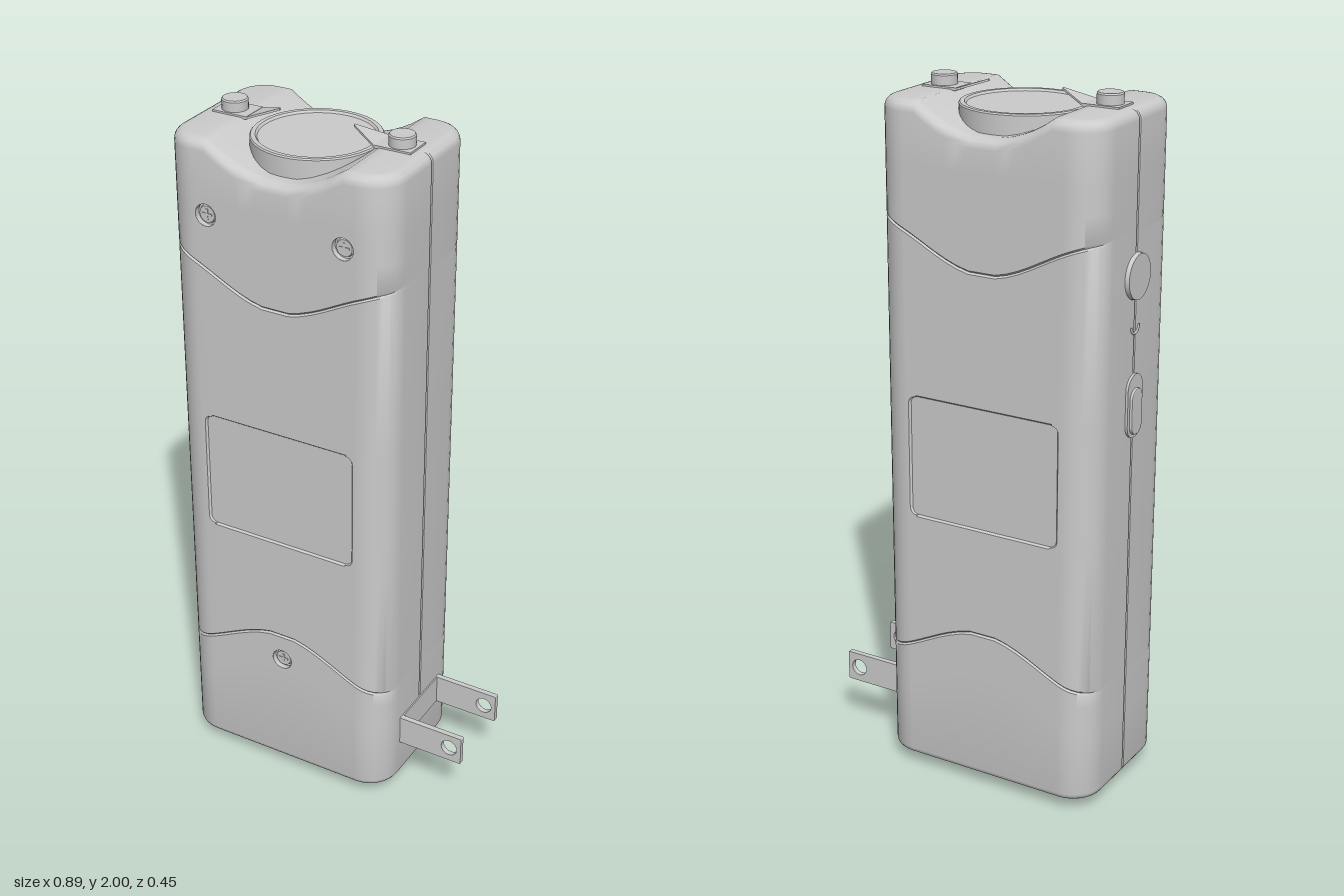
import * as THREE from 'three';
import { toCreasedNormals } from 'three/addons/utils/BufferGeometryUtils.js';

const CX = -0.092;              // centre of the case in x
const HW = 0.336, HD = 0.224;   // half width and half depth
const R = 0.092;                // corner radius in plan
const Y0 = 0.035, Y1 = 1.965;
const material = new THREE.MeshStandardMaterial({ color: 0xcccccc });
const thinMaterial = new THREE.MeshStandardMaterial({ color: 0xcccccc, side: THREE.DoubleSide });

function add(parent, name, geometry, x = 0, y = 0, z = 0, mat = material) {
  const mesh = new THREE.Mesh(geometry, mat);
  mesh.name = name;
  mesh.position.set(x, y, z);
  parent.add(mesh);
  return mesh;
}

// Rounded rectangle between two corners
function roundRect(x0, y0, x1, y1, r, Type = THREE.Shape) {
  const s = new Type();
  s.moveTo(x0 + r, y0);
  s.lineTo(x1 - r, y0); s.absarc(x1 - r, y0 + r, r, -Math.PI / 2, 0);
  s.lineTo(x1, y1 - r); s.absarc(x1 - r, y1 - r, r, 0, Math.PI / 2);
  s.lineTo(x0 + r, y1); s.absarc(x0 + r, y1 - r, r, Math.PI / 2, Math.PI);
  s.lineTo(x0, y0 + r); s.absarc(x0 + r, y0 + r, r, Math.PI, Math.PI * 1.5);
  return s;
}
const extrude = (shape, depth, bevel = 0) => new THREE.ExtrudeGeometry(shape, {
  depth, curveSegments: 10, bevelEnabled: bevel > 0, bevelSize: bevel, bevelThickness: bevel, bevelOffset: -bevel, bevelSegments: 2,
});

// Height of the scooped top, and the two wavy grooves, by distance d from the middle
const topY = d => Y1 - 0.075 * Math.max(0, 1 - (d / 0.205) ** 2);
const wave = d => (1 - Math.cos(Math.PI * Math.min(1, Math.abs(d) / 0.36))) / 2;
const lowWave = d => 0.487 - 0.117 * wave(d);
const highWave = d => 1.53 + 0.12 * wave(d);

// Columns across the width: { a } on a corner arc, { d } on the flat face
function columns() {
  const left = [];
  for (let i = 0; i <= 8; i++) left.push({ a: (i / 8) * Math.PI / 2, side: -1 });
  for (const d of [0.241, 0.234, 0.229, 0.205, 0.169, 0.14, 0.11, 0.075, 0.04]) left.push({ d, side: -1 });
  return [...left, ...left.map(c => ({ ...c, side: 1 })).reverse()];
}

// Rows up the case: y by d, inset all round, groove depth, panel depth and corner shift
function rows() {
  const list = [];
  const row = (y, extra = {}) => list.push({ y, inset: 0, groove: 0, panel: 0, shift: 0, ...extra });
  const groove = f => [-0.005, 0, 0.005].forEach(o => row(d => f(d) + o, { groove: o ? 0 : 0.005 }));
  for (let i = 0; i <= 4; i++) {
    const a = (i / 4) * Math.PI / 2;
    row(() => Y0 + 0.02 * (1 - Math.cos(a)), { inset: 0.02 * (1 - Math.sin(a)) });
  }
  row(d => lowWave(d) - 0.127);
  row(d => lowWave(d) - 0.047);
  groove(lowWave);
  const r = 0.02, low = 0.8, high = 1.16;
  const corner = [0, 1, 2, 3, 4].map(i => (i / 4) * Math.PI / 2);
  row(() => low, { shift: r });
  for (const a of corner) row(() => low + 0.005 + r * (1 - Math.cos(a)), { panel: 0.006, shift: r * (1 - Math.sin(a)) });
  for (const a of corner.slice().reverse()) row(() => high - 0.005 - r * (1 - Math.cos(a)), { panel: 0.006, shift: r * (1 - Math.sin(a)) });
  row(() => high, { shift: r });
  groove(highWave);
  row(() => 1.724);
  row(() => 1.796);
  for (let i = 0; i <= 5; i++) {
    const a = (i / 5) * Math.PI / 2;
    row(d => topY(d) - 0.03 * (1 - Math.sin(a)), { inset: 0.03 * (1 - Math.cos(a)) });
  }
  return list;
}

// Case lofted from rows and columns, with openings for screws and the base recess
function buildCase(group, screws) {
  const cols = columns(), n = cols.length;
  const ring = row => {
    const point = (d, z) => {
      const fade = Math.min(1, Math.max(0, (Math.abs(z) - 0.1) / 0.05));
      return new THREE.Vector3(CX + d, row.y(d), z - Math.sign(z) * row.groove * fade);
    };
    const face = s => cols.map(c => {
      if (c.a !== undefined) {
        const r = R - row.inset;
        return point(c.side * (HW - R + r * Math.cos(c.a)), s * (HD - R + r * Math.sin(c.a)));
      }
      const edge = c.d === 0.234 || c.d === 0.229;
      const recess = c.d <= 0.229 ? row.panel : 0;
      return point(c.side * (c.d - (edge ? row.shift : 0)), s * (HD - row.inset - recess));
    });
    const seam = s => [0.004, 0, -0.004].map(z => point(s * (HW - row.inset - (z ? 0 : 0.005)), -s * -z));
    return [...face(1), ...seam(1), ...face(-1).reverse(), ...seam(-1)];
  };
  const rings = rows().map(ring), m = rings[0].length;
  const pos = [];
  const tri = (...p) => p.forEach(v => pos.push(v.x, v.y, v.z));
  for (let j = 0; j + 1 < rings.length; j++) {
    for (let k = 0; k < m; k++) {
      const a = rings[j][k], b = rings[j][(k + 1) % m], c = rings[j + 1][(k + 1) % m], d = rings[j + 1][k];
      const mx = (a.x + b.x) / 2, my = (a.y + d.y) / 2;
      if (k < n && screws.some(s => Math.abs(mx - s.x) < 0.036 * s.k && Math.abs(my - s.y) < 0.036)) continue;
      tri(a, b, c);
      tri(a, c, d);
    }
  }
  // Top skin in strips from front to back
  const top = rings[rings.length - 1], back = i => top[2 * n + 2 - i];
  for (let i = 0; i + 1 < n; i++) {
    tri(top[i], top[i + 1], back(i + 1));
    tri(top[i], back(i + 1), back(i));
  }
  for (let i = 0; i < 3; i++) {
    tri(top[n - 1], top[n + i], top[n + i + 1]);
    tri(back(0), top[2 * n + 3 + i], top[(2 * n + 4 + i) % m]);
  }
  const geo = new THREE.BufferGeometry();
  geo.setAttribute('position', new THREE.Float32BufferAttribute(pos, 3));
  add(group, 'case', toCreasedNormals(geo, 0.62));

  // Base with a rounded recess, its wall, floor and raised bar
  const base = new THREE.Shape(rings[0].map(p => new THREE.Vector2(p.x, p.z)));
  const rim = Type => roundRect(-0.34, -0.1, 0.18, 0.1, 0.06, Type);
  base.holes.push(rim(THREE.Path));
  add(group, 'base', new THREE.ShapeGeometry(base).rotateX(Math.PI / 2), 0, Y0);
  const wall = roundRect(-0.35, -0.11, 0.19, 0.11, 0.07);
  wall.holes.push(rim(THREE.Path));
  add(group, 'baseRecessWall', extrude(wall, 0.024).rotateX(Math.PI / 2), 0, Y0 + 0.025);
  add(group, 'baseRecessFloor', new THREE.ShapeGeometry(rim()).rotateX(Math.PI / 2), 0, Y0 + 0.024);
  add(group, 'baseSlider', extrude(roundRect(-0.3, -0.05, 0.02, 0.05, 0.02), 0.018).rotateX(Math.PI / 2), 0, Y0 + 0.024);
}

// Sunk screw with a surround that fills its opening in the front face
function addScrew(group, s) {
  const g = new THREE.Group();
  g.name = 'screw';
  const plate = new THREE.Shape(s.corners.map(([x, y]) => new THREE.Vector2(x, y)));
  plate.holes.push(new THREE.Path().absarc(s.x, s.y, 0.031, 0, Math.PI * 2, true));
  add(g, 'screwSurround', new THREE.ShapeGeometry(plate, 24), 0, 0, HD);
  const profile = [[0, -0.008], [0.023, -0.008], [0.026, -0.016], [0.031, -0.016], [0.031, 0]];
  const lathe = new THREE.LatheGeometry(profile.map(p => new THREE.Vector2(...p)), 24).rotateX(Math.PI / 2);
  add(g, 'screwHead', toCreasedNormals(lathe, 0.5), s.x, s.y, HD, thinMaterial);
  for (const [w, h] of [[0.03, 0.006], [0.006, 0.03]]) add(g, 'screwCross', new THREE.BoxGeometry(w, h, 0.004), s.x, s.y, HD - 0.008);
  group.add(g);
}

export function createModel() {
  const group = new THREE.Group();
  const square = (x, y, h) => [[x - h, y - 0.036], [x + h, y - 0.036], [x + h, y + 0.036], [x - h, y + 0.036]];
  const e = lowWave(0.04);
  const screws = [-0.205, 0.205].map(d => ({ x: CX + d, y: 1.76, k: 1, corners: square(CX + d, 1.76, 0.036) }));
  screws.push({ x: CX, y: 0.4, k: 1, corners: [[CX - 0.04, e - 0.127], [CX + 0.04, e - 0.127], [CX + 0.04, e - 0.047], [CX - 0.04, e - 0.047]] });
  buildCase(group, screws);
  screws.forEach(s => addScrew(group, s));

  // Round lens in the scoop
  const lens = [[0, 1.944], [0.155, 1.944], [0.16, 1.95], [0.172, 1.95], [0.175, 1.946], [0.175, 1.87]];
  const lensGeo = new THREE.LatheGeometry(lens.map(p => new THREE.Vector2(...p)).reverse(), 48);
  add(group, 'lens', toCreasedNormals(lensGeo, 0.5), CX, 0, 0, thinMaterial);

  // Mirrored terminals: plate, bent tip and knurled nut
  for (const s of [-1, 1]) {
    add(group, 'terminalPlate', new THREE.BoxGeometry(0.105, 0.008, 0.082), CX + s * 0.2425, 1.966, 0);
    const tip = extrude(new THREE.Shape([[0.19, -0.041], [0.19, 0.041], [0.111, 0.003], [0.111, -0.003]]
      .map(([x, z]) => new THREE.Vector2(s * x, z))), 0.006).rotateX(Math.PI / 2);
    const p = tip.attributes.position;
    for (let i = 0; i < p.count; i++) p.setY(i, p.getY(i) + (0.19 - Math.abs(p.getX(i))) * 0.34);
    tip.computeVertexNormals();
    add(group, 'terminalTip', tip, CX, 1.969, 0, thinMaterial);
    const nut = new THREE.CylinderGeometry(0.033, 0.036, 0.004, 20).translate(0, 0.016, 0);
    add(group, 'terminalNutTop', nut, CX + s * 0.25, 1.982, 0);
    add(group, 'terminalNut', new THREE.CylinderGeometry(0.036, 0.036, 0.03, 20).toNonIndexed(), CX + s * 0.25, 1.981, 0);
  }

  // Plug: two pierced blades on a shallow base plate
  for (const s of [-1, 1]) {
    const blade = roundRect(0.2, 0.155, 0.443, 0.245, 0.003);
    blade.holes.push(new THREE.Path().absarc(0.405, 0.2, 0.025, 0, Math.PI * 2, true));
    add(group, 'plugBlade', extrude(blade, 0.016), 0, 0, s * 0.112 - 0.008);
  }
  add(group, 'plugBase', new THREE.BoxGeometry(0.03, 0.09, 0.24), 0.233, 0.2, 0);

  // Controls on the right side: round button, mark and slide switch
  const button = new THREE.CylinderGeometry(0.062, 0.066, 0.03, 36).rotateZ(Math.PI / 2);
  add(group, 'roundButton', button, -0.425, 1.525, 0);
  const mark = new THREE.TorusGeometry(0.022, 0.004, 6, 16, Math.PI).rotateY(Math.PI / 2).rotateX(Math.PI);
  add(group, 'switchMark', mark, -0.428, 1.39, 0);
  const surround = extrude(roundRect(-0.042, 1.075, 0.042, 1.255, 0.041), 0.025).rotateY(-Math.PI / 2);
  add(group, 'switchSurround', surround, -0.41, 0, 0);
  const slide = extrude(roundRect(-0.03, 1.085, 0.03, 1.215, 0.028), 0.028, 0.004).rotateY(-Math.PI / 2);
  add(group, 'slideSwitch', slide, -0.411, 0, 0);

  // Round foot button with a dished face
  const foot = [[0, 0.012], [0.05, 0.012], [0.055, 0.006], [0.062, 0.006], [0.066, 0], [0.08, 0], [0.088, 0.008], [0.088, 0.06]];
  const footGeo = new THREE.LatheGeometry(foot.map(p => new THREE.Vector2(...p)), 40);
  add(group, 'footButton', toCreasedNormals(footGeo, 0.5), 0.077, 0.008, 0, thinMaterial);
  group.children.forEach(c => { if (c.name === 'footButton') c.position.y = 0; });
  return group;
}
